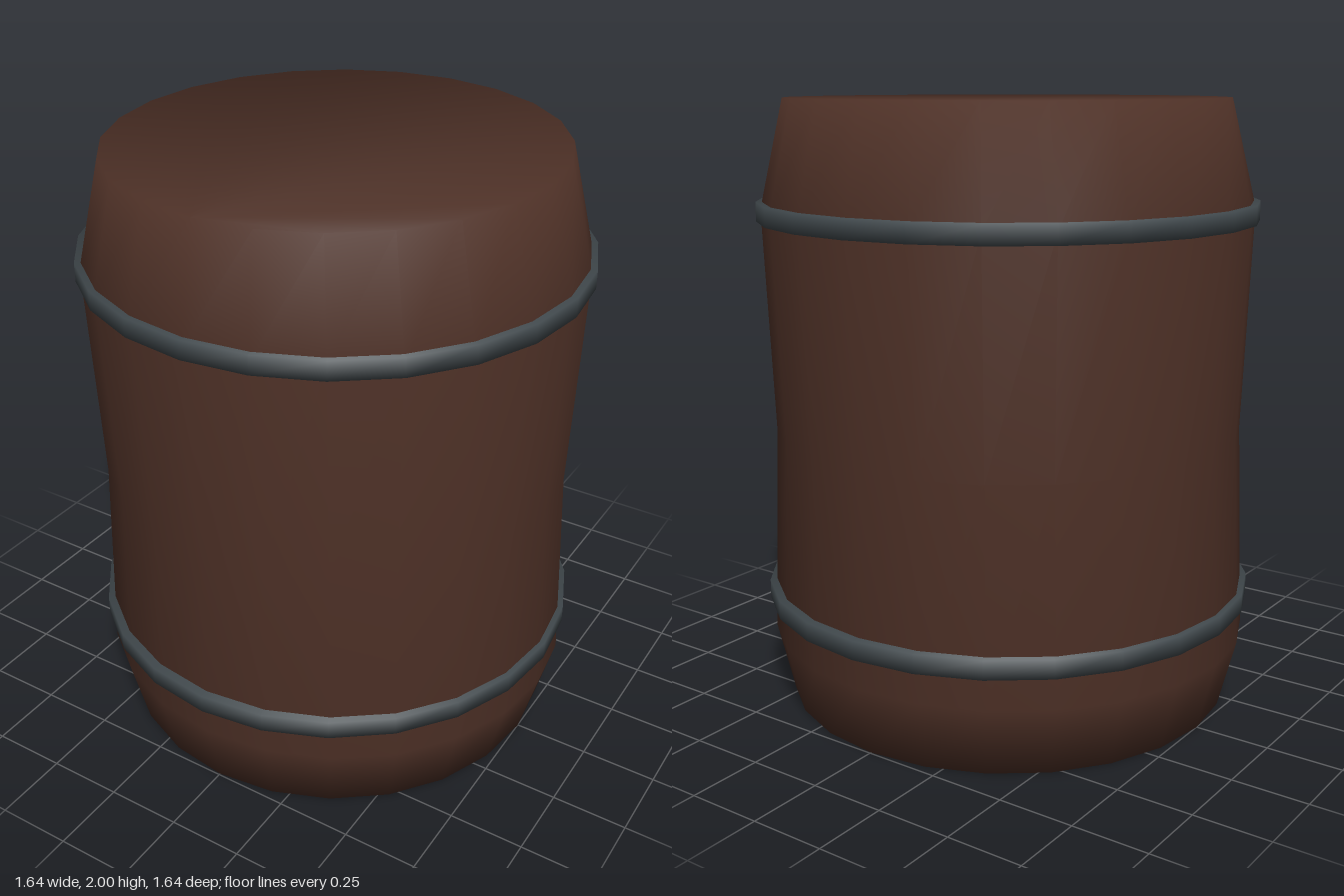
import * as THREE from 'three';

const SIDES = 24;

// Smooth 24-sided shell from rows of { y, rx, rz, tilt }, listed bottom to top.
// tilt is the elevation of the surface normal in degrees.
function shell(rows, capped) {
  const position = [], normal = [], index = [];
  for (const { y, rx, rz = rx, tilt } of rows) {
    const t = THREE.MathUtils.degToRad(tilt);
    for (let i = 0; i < SIDES; i++) {
      const a = (i / SIDES) * Math.PI * 2;
      position.push(rx * Math.sin(a), y, rz * Math.cos(a));
      normal.push(Math.sin(a) * Math.cos(t), Math.sin(t), Math.cos(a) * Math.cos(t));
    }
  }
  for (let r = 0; r < rows.length - 1; r++) {
    for (let i = 0; i < SIDES; i++) {
      const j = (i + 1) % SIDES;
      const a = r * SIDES + i, b = r * SIDES + j;
      index.push(a, b, b + SIDES, a, b + SIDES, a + SIDES);
    }
  }
  // Flat ends share the rim normals, so they shade softly into the wall
  if (capped) {
    const top = (rows.length - 1) * SIDES;
    for (let i = 1; i < SIDES - 1; i++) {
      index.push(0, i + 1, i, top, top + i, top + i + 1);
    }
  }
  const geometry = new THREE.BufferGeometry();
  geometry.setAttribute('position', new THREE.Float32BufferAttribute(position, 3));
  geometry.setAttribute('normal', new THREE.Float32BufferAttribute(normal, 3));
  geometry.setIndex(index);
  return geometry;
}

export function createModel() {
  const wood = new THREE.MeshStandardMaterial({ color: 0x4d3026 });
  wood.name = 'dark brown wood';
  const iron = new THREE.MeshStandardMaterial({ color: 0x41494d });
  iron.name = 'grey iron';

  const model = new THREE.Group();
  model.name = 'barrel';

  // Body: slightly pinched waist, tapered ends
  const body = new THREE.Mesh(shell([
    { y: 0, rx: 0.75, rz: 0.745, tilt: -54 },
    { y: 0.23, rx: 0.81, rz: 0.795, tilt: -5 },
    { y: 0.92, rx: 0.78, rz: 0.775, tilt: 0 },
    { y: 1.65, rx: 0.805, rz: 0.805, tilt: 5 },
    { y: 2, rx: 0.715, rz: 0.735, tilt: 54 },
  ], true), wood);
  body.name = 'body';
  model.add(body);

  // Hoops around the body
  const half = 0.031;
  const hoopGeometry = shell([
    { y: -half, rx: 0.76, tilt: -40 },
    { y: -half, rx: 0.82, tilt: -40 },
    { y: half, rx: 0.82, tilt: 40 },
    { y: half, rx: 0.76, tilt: 40 },
  ], false);
  for (const [name, y] of [['lowerHoop', 0.368], ['upperHoop', 1.643]]) {
    const hoop = new THREE.Mesh(hoopGeometry, iron);
    hoop.name = name;
    hoop.position.y = y;
    model.add(hoop);
  }
  return model;
}
